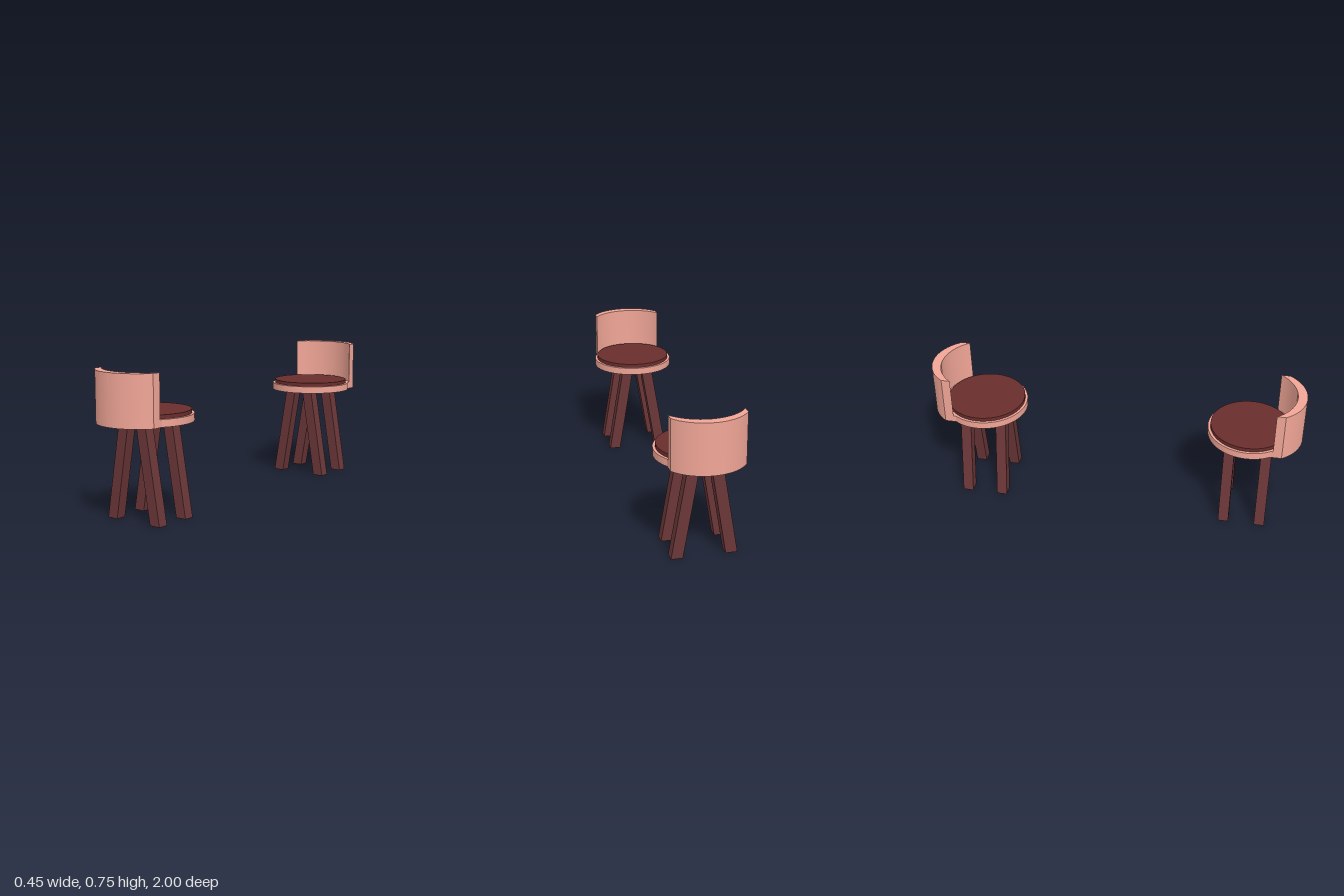
import * as THREE from 'three';
import { toCreasedNormals } from 'three/addons/utils/BufferGeometryUtils.js';

const SEAT_Z = 0.72; // seat centre of each chair
const shellMat = new THREE.MeshStandardMaterial({ color: 0xf0a596 });
const cushionMat = new THREE.MeshStandardMaterial({ color: 0x6a2d2d });
const legMat = new THREE.MeshStandardMaterial({ color: 0x6a3638 });

function part(name, geometry, material) {
  const mesh = new THREE.Mesh(geometry, material);
  mesh.name = name;
  return mesh;
}

function disc(radius, y0, y1) {
  return new THREE.CylinderGeometry(radius, radius, y1 - y0, 64).translate(0, (y0 + y1) / 2, 0);
}

// Curved slab between two arcs (plan view), standing from y0 to y1
function crescent(halfWidth, outerR, outerZ, innerR, innerZ, y0, y1) {
  const a = Math.acos(halfWidth / outerR);
  const b = Math.acos(halfWidth / innerR);
  const shape = new THREE.Shape();
  shape.absarc(0, outerZ, outerR, a, Math.PI - a, false);
  shape.absarc(0, innerZ, innerR, Math.PI - b, b, true);
  const geo = new THREE.ExtrudeGeometry(shape, { depth: y1 - y0, bevelEnabled: false, curveSegments: 32 });
  geo.rotateX(Math.PI / 2).translate(0, y1, 0);
  return toCreasedNormals(geo, 0.5);
}

// Square leg sheared outward, with level ends
function leg(sx, z) {
  const height = 0.5;
  const geo = new THREE.BoxGeometry(0.06, height, 0.056).translate(0, height / 2, 0);
  const p = geo.attributes.position;
  for (let i = 0; i < p.count; i++) {
    p.setX(i, p.getX(i) + sx * (0.139 - 0.17 * p.getY(i)));
  }
  geo.translate(0, 0, z);
  geo.computeVertexNormals();
  return geo;
}

// One chair, its backrest towards +z
function chair(name) {
  const g = new THREE.Group();
  g.name = name;
  g.add(part('seat', disc(0.223, 0.492, 0.53), shellMat));
  g.add(part('cushion', disc(0.209, 0.53, 0.55), cushionMat));
  g.add(part('backrest', crescent(0.187, 0.225, 0.055, 0.23, 0, 0.53, 0.755), shellMat));
  // base of the backrest, joined to the seat rim
  g.add(part('backrestBase', crescent(0.187, 0.225, 0.055, 0.218, 0, 0.492, 0.53), shellMat));
  for (const sx of [-1, 1]) {
    for (const sz of [-1, 1]) {
      g.add(part(sz > 0 ? 'backLeg' : 'frontLeg', leg(sx, sz * 0.098 + 0.003), legMat));
    }
  }
  return g;
}

export function createModel() {
  const model = new THREE.Group();
  model.name = 'facingChairs';
  const near = chair('nearChair');
  near.position.z = SEAT_Z;
  const far = chair('farChair');
  far.rotation.y = Math.PI;
  far.position.z = -SEAT_Z;
  model.add(near, far);
  return model;
}
